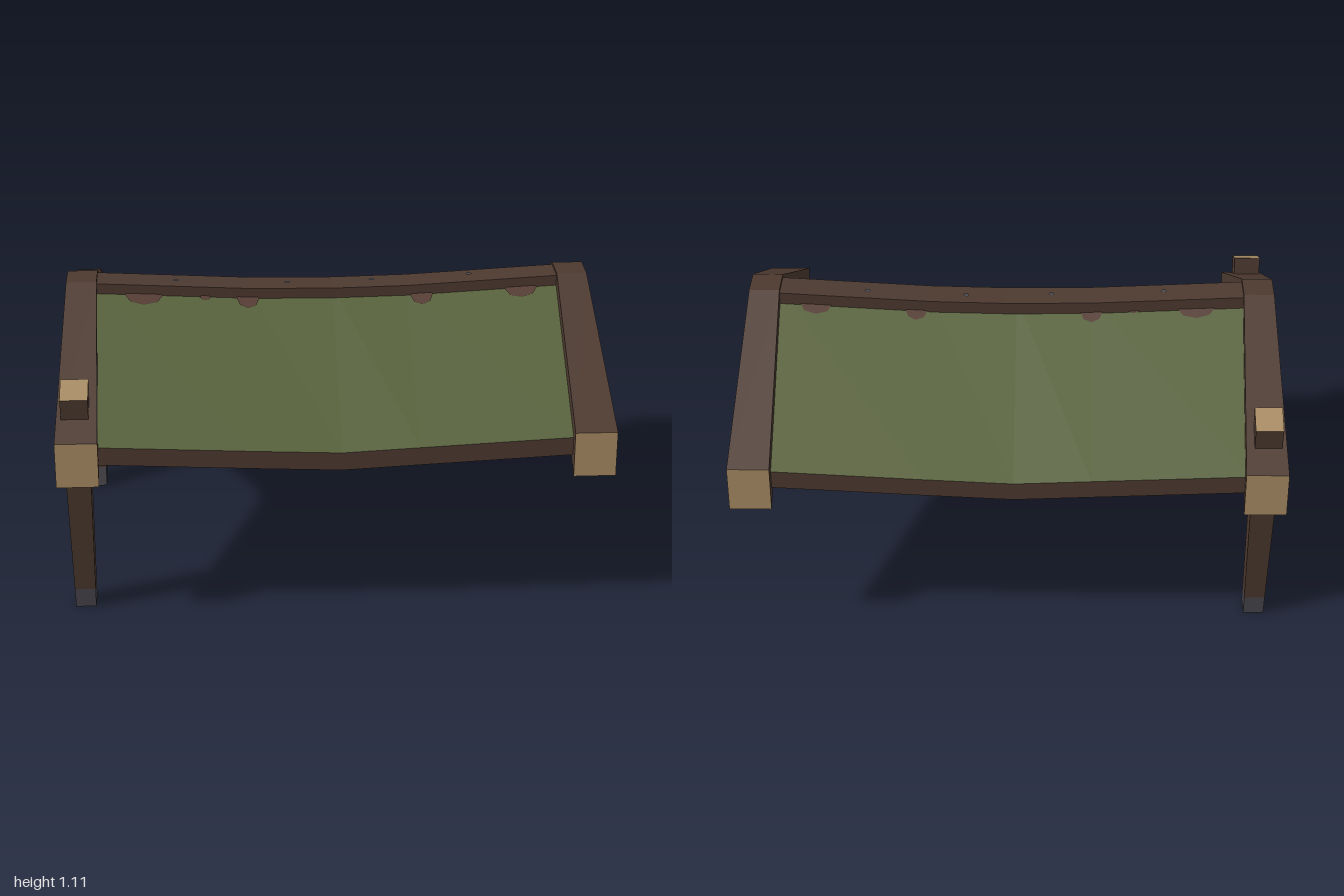
import * as THREE from 'three';

const flat = (name, color) => {
  const m = new THREE.MeshStandardMaterial({ color });
  m.name = name;
  return m;
};

// Skin four-cornered cross-sections; faceMats = [side0, side1, side2, side3, startCap, endCap]
function loft(name, sections, faceMats) {
  const mats = [...new Set(faceMats)];
  const geo = new THREE.BufferGeometry();
  const pos = [];
  const quad = (a, b, c, d, mat) => {
    geo.addGroup(pos.length / 3, 6, mats.indexOf(mat));
    for (const p of [a, b, c, a, c, d]) pos.push(...p);
  };
  for (let k = 0; k < sections.length - 1; k++) {
    const s = sections[k], t = sections[k + 1];
    for (let i = 0; i < 4; i++) {
      const j = (i + 1) % 4;
      quad(s[i], s[j], t[j], t[i], faceMats[i]);
    }
  }
  const s = sections[0], e = sections[sections.length - 1];
  quad(s[3], s[2], s[1], s[0], faceMats[4]);
  quad(e[0], e[1], e[2], e[3], faceMats[5]);
  geo.setAttribute('position', new THREE.Float32BufferAttribute(pos, 3));
  geo.computeVertexNormals();
  const mesh = new THREE.Mesh(geo, mats.length > 1 ? mats : mats[0]);
  mesh.name = name;
  return mesh;
}

// Sagging roof surface
const XS = [-0.87, -0.3, 0.02, 0.3, 0.87];
const RIDGE = [1.085, 1.055, 1.05, 1.055, 1.085];
const EAVE = [0.722, 0.694, 0.68, 0.694, 0.722];
const THICK = 0.068;
const EAVE_Z = 0.7;

function along(table, x) {
  let i = 0;
  while (i < 3 && x > XS[i + 1]) i++;
  return THREE.MathUtils.mapLinear(x, XS[i], XS[i + 1], table[i], table[i + 1]);
}
const roofY = (x, z) => THREE.MathUtils.lerp(along(RIDGE, x), along(EAVE, x), z / EAVE_Z);

// Flat disc laid onto a surface given by a height rule
function disc(name, mat, x, z, rx, rz, height, down = false, sides = 8) {
  const geo = new THREE.CircleGeometry(1, sides);
  geo.rotateX(down ? Math.PI / 2 : -Math.PI / 2);
  geo.scale(rx, 1, rz);
  geo.translate(x, 0, z);
  const p = geo.attributes.position;
  for (let i = 0; i < p.count; i++) p.setY(i, height(p.getX(i), p.getZ(i)));
  geo.computeVertexNormals();
  const mesh = new THREE.Mesh(geo, mat);
  mesh.name = name;
  return mesh;
}

export function createModel() {
  const wood = flat('dark wood', 0x4d3a30);
  const cut = flat('cut wood end', 0xa88b64);
  const green = flat('green covering', 0x566039);
  const iron = flat('iron', 0x4a484f);
  const worn = flat('worn patch', 0x533a30);
  const all = (m) => Array(6).fill(m);
  const model = new THREE.Group();
  model.name = 'canopy';

  // Bent end beams with pale cut ends, [z, bottom, top, outer x, inner x]
  const profile = [
    [-0.742, 0.587, 0.757, 1, 0.848],
    [-0.06, 0.945, 1.106, 0.978, 0.865],
    [0.06, 0.945, 1.106, 0.978, 0.865],
    [0.742, 0.587, 0.757, 1, 0.848],
  ];
  for (const side of [-1, 1]) {
    const sections = profile.map(([z, b, t, out, inn]) => {
      const [x0, x1] = side > 0 ? [inn, out] : [-out, -inn];
      return [[x0, b, z], [x1, b, z], [x1, t, z], [x0, t, z]];
    });
    model.add(loft('endBeam', sections, [wood, wood, wood, wood, cut, cut]));
  }

  // Ridge board
  const ridgeTop = (x) => along(RIDGE, x) + 0.011;
  model.add(loft('ridgeBoard', XS.map((x) => {
    const y = ridgeTop(x);
    return [[x, y - 0.06, 0.055], [x, y - 0.06, -0.065], [x, y, -0.065], [x, y, 0.055]];
  }), all(wood)));
  for (const x of [-0.57, -0.15, 0.17, 0.54]) {
    model.add(disc('ridgeNail', iron, x, x < 0 ? 0 : -0.015, 0.012, 0.012, (px) => ridgeTop(px) + 0.004, false, 6));
  }

  // Two roof slopes: wooden slab with green top, worn patches and nails beneath
  const patches = [[-0.69, 0.07, 0.04], [-0.3, 0.042, 0.042], [0.355, 0.042, 0.042], [0.73, 0.06, 0.04], [-0.46, 0.02, 0.012]];
  for (const facing of [1, -1]) {
    const slope = new THREE.Group();
    slope.name = facing > 0 ? 'frontSlope' : 'backSlope';
    if (facing < 0) slope.rotation.y = Math.PI;
    slope.add(loft('roofPanel', XS.map((x, i) => [
      [x, EAVE[i] - THICK, EAVE_Z], [x, RIDGE[i] - THICK, 0],
      [x, RIDGE[i], 0], [x, EAVE[i], EAVE_Z],
    ]), [wood, wood, green, wood, wood, wood]));
    for (const [x, rx, rz] of patches) {
      slope.add(disc('wornPatch', worn, x * facing, 0.062, rx, rz, (px, pz) => roofY(px, pz) + 0.005));
    }
    for (const x of [-0.67, -0.35, 0.35, 0.67]) {
      for (const z of [0.13, 0.57]) {
        slope.add(disc('undersideNail', iron, x, z, 0.012, 0.012, (px, pz) => roofY(px, pz) - THICK - 0.004, true, 6));
      }
    }
    model.add(slope);
  }

  // Leaning, tapered legs on one end, with iron feet and pale tops
  for (const s of [1, -1]) {
    // Cross-section at fraction t of the height
    const section = (t) => {
      const mix = (a, b) => THREE.MathUtils.lerp(a, b, t);
      const x0 = mix(-0.965, -0.98), x1 = mix(-0.89, -0.88);
      const outer = [mix(0, 0.885), s * mix(0.552, 0.652)];
      const inner = [mix(0, 0.925), s * mix(0.47, 0.555)];
      const [near, far] = s > 0 ? [outer, inner] : [inner, outer];
      return [[x0, ...near], [x1, ...near], [x1, ...far], [x0, ...far]];
    };
    model.add(loft('legFoot', [section(0), section(0.088)], all(iron)));
    model.add(loft('leg', [section(0.088), section(1)], [wood, wood, wood, wood, wood, cut]));
  }
  return model;
}
